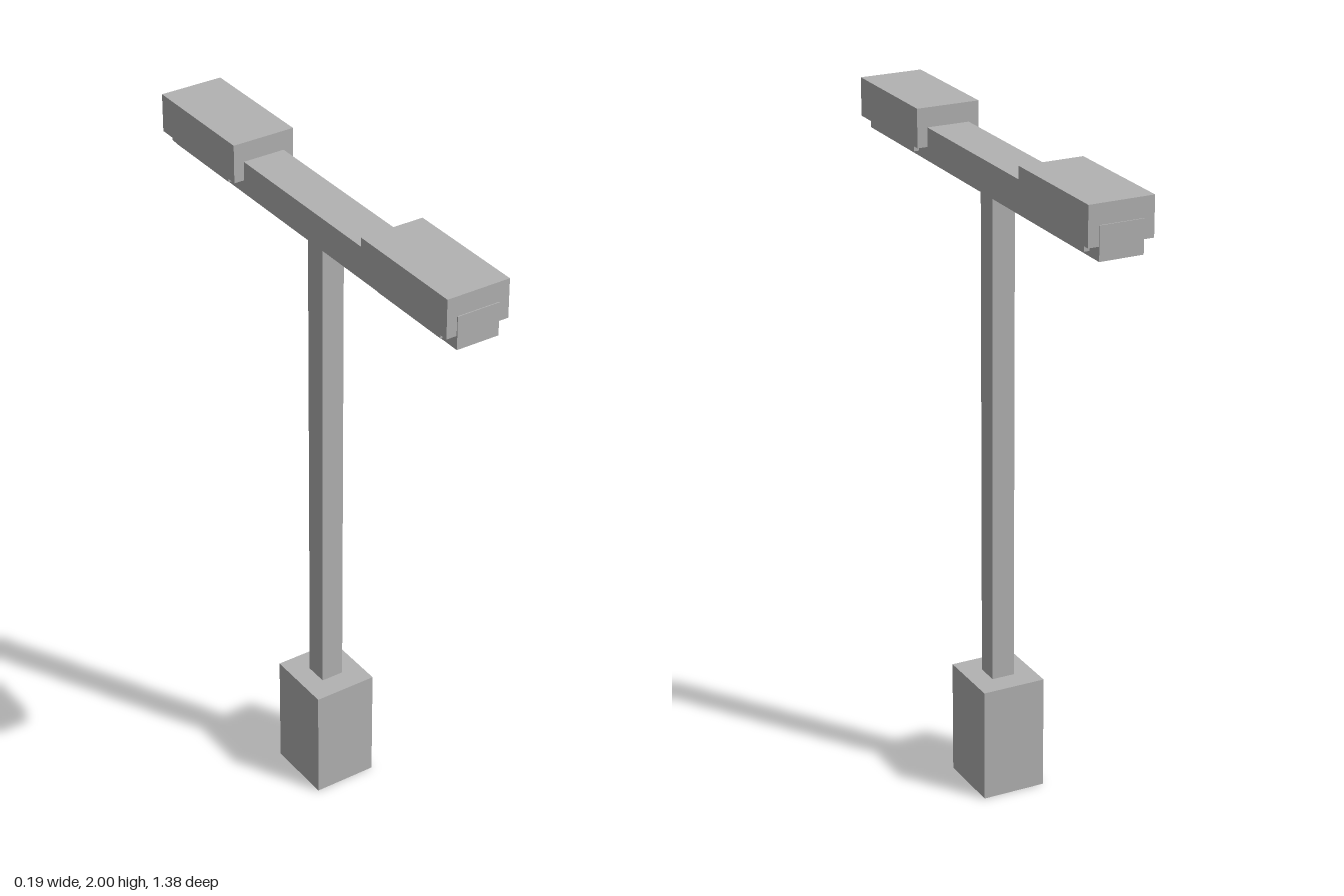
import * as THREE from 'three';

export function createModel() {
  const group = new THREE.Group();
  const grey = new THREE.MeshStandardMaterial({ color: 0xb2b2b2 });
  grey.name = 'concrete grey';

  // Box given by its width, vertical range and depth range, centred on x
  const addBox = (name, width, y0, y1, z0, z1) => {
    const mesh = new THREE.Mesh(new THREE.BoxGeometry(width, y1 - y0, z1 - z0), grey);
    mesh.position.set(0, (y0 + y1) / 2, (z0 + z1) / 2);
    mesh.name = name;
    group.add(mesh);
  };

  // Foot, post and crossbar
  addBox('base', 0.195, 0, 0.35, -0.105, 0.105);
  addBox('post', 0.07, 0.35, 1.845, -0.035, 0.035);
  addBox('crossbar', 0.13, 1.845, 1.942, -0.69, 0.69);

  // A lamp housing with a lens below it at each end of the crossbar
  for (const [side, s] of [['front', 1], ['back', -1]]) {
    const range = (a, b) => (s > 0 ? [a, b] : [-b, -a]);
    addBox(side + 'LampHousing', 0.193, 1.885, 2, ...range(0.308, 0.687));
    addBox(side + 'LampLens', 0.162, 1.86, 1.89, ...range(0.363, 0.64));
  }
  return group;
}
